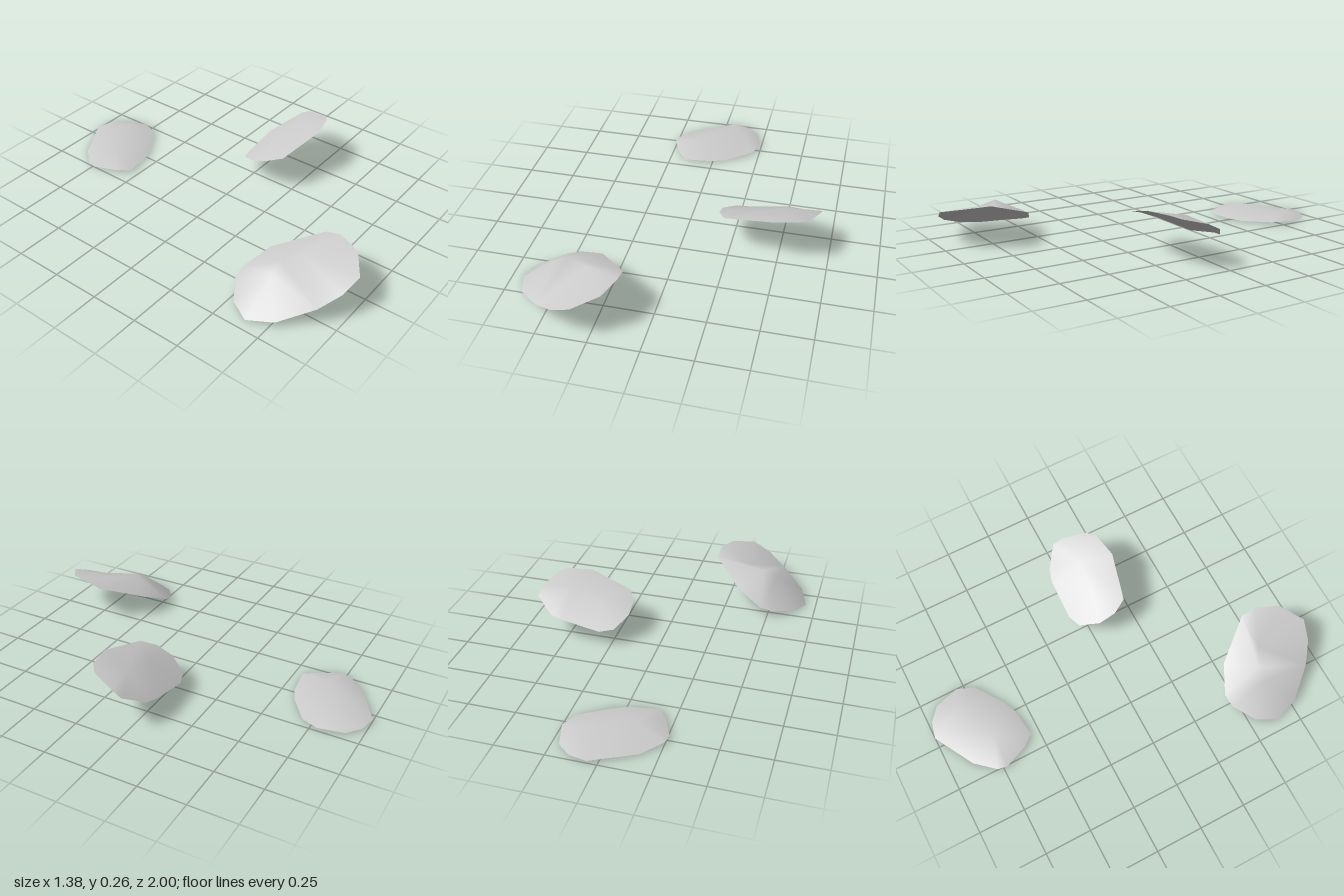
import * as THREE from 'three';

const petalGrey = new THREE.MeshStandardMaterial({ color: 0xcccccc, side: THREE.DoubleSide });
petalGrey.name = 'petal grey';

// One thin curled sheet: a rim (clockwise from above) joined to a short inner ridge
function petal(name, rim, ridge) {
  const points = [...rim, ...ridge].map((p) => new THREE.Vector3(...p));
  const n = rim.length;
  const nearest = rim.map(([x, , z]) => {
    const d = ridge.map((r) => Math.hypot(r[0] - x, r[2] - z));
    return n + d.indexOf(Math.min(...d));
  });
  const index = [];
  for (let i = 0; i < n; i++) {
    const j = (i + 1) % n;
    index.push(nearest[i], j, i);
    // bridge each ridge step between neighbouring rim points
    const step = Math.sign(nearest[j] - nearest[i]);
    for (let k = nearest[i]; k !== nearest[j]; k += step) index.push(k, k + step, j);
  }
  const geometry = new THREE.BufferGeometry().setFromPoints(points);
  geometry.setIndex(index);
  geometry.computeVertexNormals();
  const mesh = new THREE.Mesh(geometry, petalGrey);
  mesh.name = name;
  return mesh;
}

export function createModel() {
  const group = new THREE.Group();
  group.name = 'scatteredPetals';

  // Flat petal with a low ridge
  group.add(petal('backPetal', [
    [0.05, 0.015, -1.0], [0.14, 0.012, -0.98], [0.21, 0.01, -0.92], [0.245, 0.016, -0.79],
    [0.21, 0.015, -0.7], [0.07, 0.006, -0.6], [-0.01, 0.01, -0.565], [-0.16, 0.013, -0.545],
    [-0.21, 0.014, -0.61], [-0.26, 0.016, -0.73], [-0.25, 0.014, -0.78], [-0.16, 0.004, -0.88],
  ], [[-0.1, 0.06, -0.72], [0.15, 0.045, -0.81]]));

  // Petal with its front edge lifted
  group.add(petal('leftPetal', [
    [0.31, 0.083, -0.08], [0.52, 0.12, -0.075], [0.59, 0.13, -0.055], [0.69, 0.19, 0.02],
    [0.685, 0.22, 0.08], [0.64, 0.25, 0.2], [0.595, 0.262, 0.235], [0.46, 0.258, 0.262],
    [0.22, 0.2, 0.205], [0.18, 0.175, 0.13], [0.18, 0.14, 0.04], [0.235, 0.095, -0.055],
  ], [[0.34, 0.195, 0.08], [0.52, 0.23, 0.09]]));

  // Strongly bent petal, raised on its inner side
  group.add(petal('frontPetal', [
    [-0.46, 0.055, 0.45], [-0.32, 0.12, 0.515], [-0.155, 0.2, 0.71], [-0.155, 0.223, 0.79],
    [-0.2, 0.213, 0.91], [-0.32, 0.185, 0.995], [-0.42, 0.14, 0.97], [-0.52, 0.09, 0.905],
    [-0.65, 0.03, 0.77], [-0.695, 0.003, 0.64], [-0.64, 0.012, 0.535], [-0.53, 0.035, 0.46],
  ], [[-0.51, 0.153, 0.65], [-0.44, 0.183, 0.65], [-0.34, 0.187, 0.7]]));

  return group;
}
